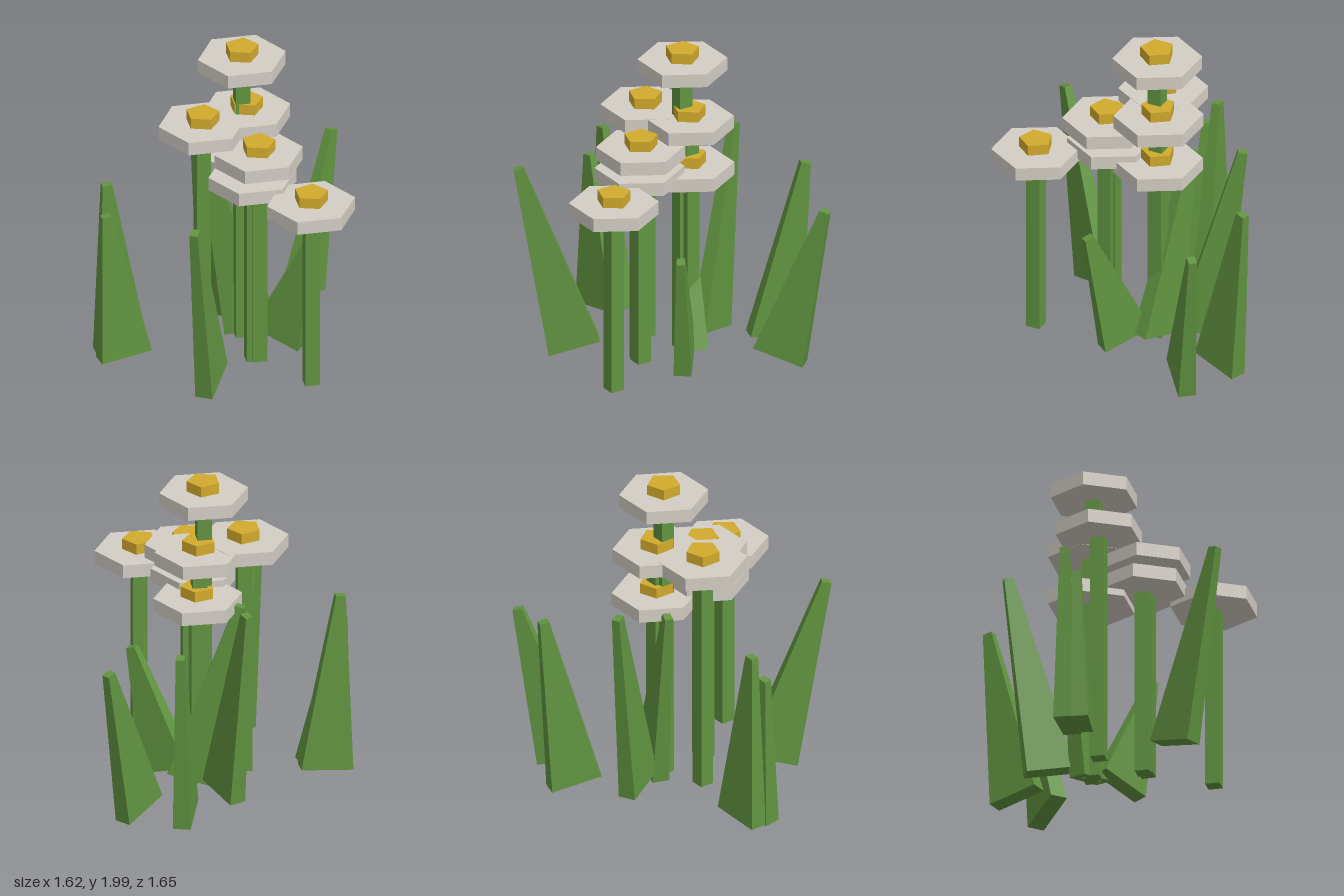
import * as THREE from 'three';

const green = new THREE.MeshStandardMaterial({ color: 0x619440 });
green.name = 'leafGreen';
const white = new THREE.MeshStandardMaterial({ color: 0xd4cec5 });
white.name = 'petalWhite';
const yellow = new THREE.MeshStandardMaterial({ color: 0xd2aa2c });
yellow.name = 'centreYellow';

function part(name, geometry, material, x = 0, y = 0, z = 0) {
  const mesh = new THREE.Mesh(geometry, material);
  mesh.name = name;
  mesh.position.set(x, y, z);
  return mesh;
}

// Faceted upright prism with one corner pointing along +x
function prism(radius, height, sides) {
  const g = new THREE.CylinderGeometry(radius, radius, height, sides, 1, false, Math.PI / 2).toNonIndexed();
  g.computeVertexNormals();
  return g;
}

// Square stem, hexagonal petal disc and pentagonal centre; y is the underside of the petals
function flower(x, y, z) {
  const group = new THREE.Group();
  group.name = 'flower';
  const foot = 0.025;
  group.add(
    part('stem', new THREE.BoxGeometry(0.088, y - foot, 0.088), green, x, (y + foot) / 2, z),
    part('petals', prism(0.27, 0.085, 6), white, x, y + 0.0425, z),
    part('flowerCentre', prism(0.104, 0.067, 5), yellow, x, y + 0.1185, z)
  );
  return group;
}

// Tapered blade standing on a wide base; heading is the ground direction of its wide side
function leaf(base, tip, heading, width = 0.32) {
  const from = new THREE.Vector3(...base);
  const to = new THREE.Vector3(...tip);
  const up = to.clone().sub(from);
  const height = up.length();
  up.normalize();
  const side = new THREE.Vector3(heading[0], 0, heading[1]);
  side.addScaledVector(up, -side.dot(up)).normalize();
  const depth = new THREE.Vector3().crossVectors(side, up);

  const g = new THREE.BoxGeometry(width, height, 0.108);
  const p = g.attributes.position;
  for (let i = 0; i < p.count; i++) {
    if (p.getY(i) > 0) {
      p.setX(i, Math.sign(p.getX(i)) * 0.03);
      p.setZ(i, Math.sign(p.getZ(i)) * 0.025);
    }
  }
  g.computeVertexNormals();
  const mesh = part('leaf', g, green);
  mesh.quaternion.setFromRotationMatrix(new THREE.Matrix4().makeBasis(side, up, depth));
  mesh.position.copy(from.add(to).multiplyScalar(0.5));
  return mesh;
}

export function createModel() {
  const model = new THREE.Group();
  model.name = 'flowerClump';

  const flowers = [
    [0.10, 1.848, -0.085],
    [-0.162, 1.472, 0.01],
    [0.133, 1.47, -0.11],
    [0.135, 1.362, 0.235],
    [0.10, 1.207, 0.222],
    [0.14, 1.165, -0.11],
    [0.38, 1.177, 0.588],
  ];
  for (const f of flowers) model.add(flower(...f));

  const leaves = [
    // pair on the right-hand side
    [[-0.645, 0.035, -0.067], [-0.735, 1.163, -0.06], [-1, 0.04]],
    [[-0.645, 0.035, 0.022], [-0.757, 0.99, 0.02], [-0.99, 0.14]],
    // front
    [[-0.21, 0.057, 0.49], [-0.375, 1.24, 0.78], [-0.49, 0.87]],
    // back
    [[0.56, 0.05, -0.485], [0.775, 1.037, -0.667], [0.757, -0.653]],
    [[0.298, 0.045, -0.61], [0.36, 1.17, -0.795], [0.31, -0.95]],
    [[0.02, 0.055, -0.34], [-0.08, 1.312, -0.57], [-0.42, -0.9], 0.3],
    // among the stems
    [[0.3, 0.055, 0.03], [0.49, 0.805, 0.18], [0.79, 0.61]],
    [[0.165, 0.05, -0.12], [-0.1, 1.21, -0.21], [-0.95, -0.31]],
  ];
  for (const l of leaves) model.add(leaf(...l));

  return model;
}
